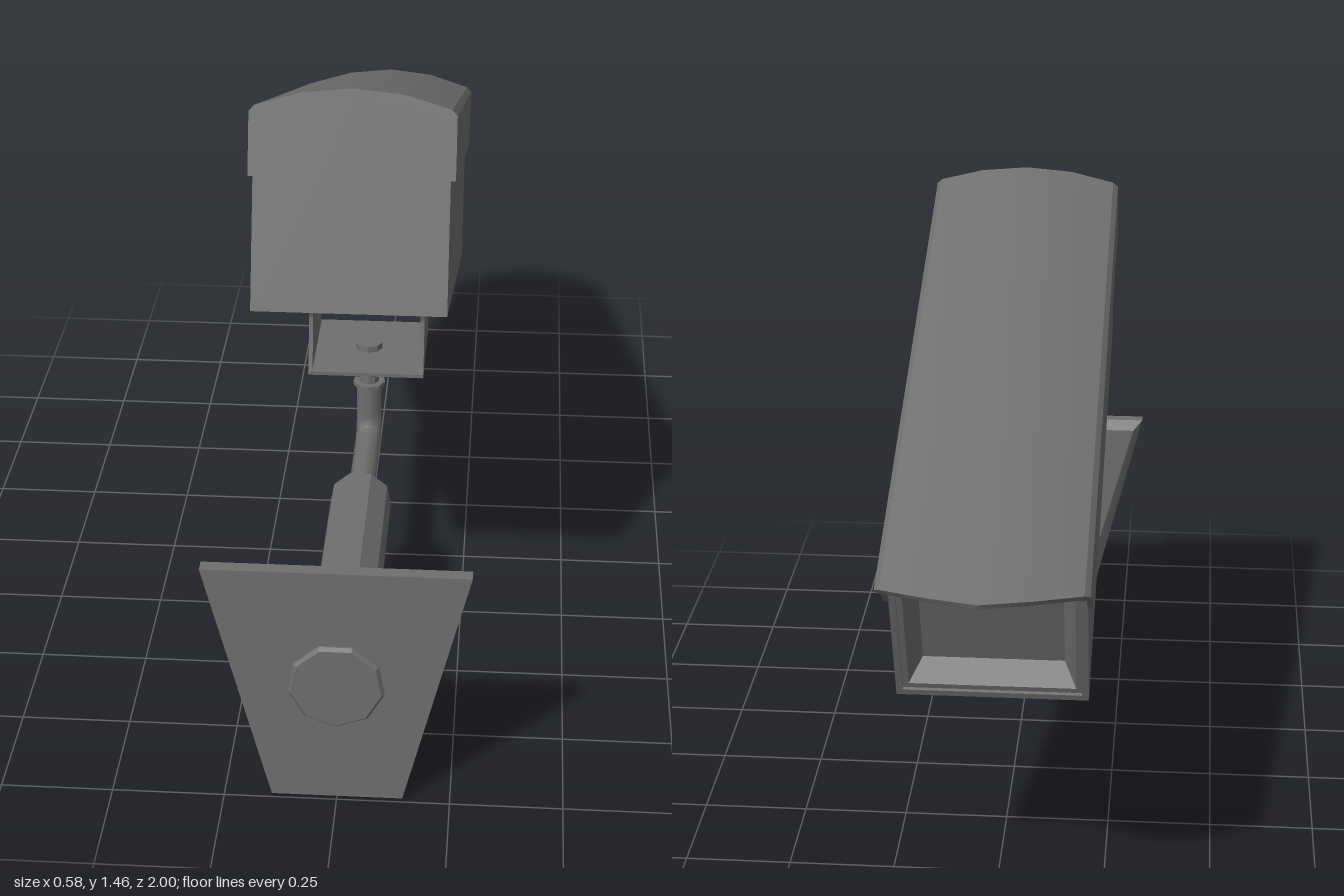
import * as THREE from 'three';
import { toCreasedNormals } from 'three/addons/utils/BufferGeometryUtils.js';

const material = new THREE.MeshStandardMaterial({ color: 0x6f6f6f });

function part(name, geometry, parent, crease = 0.4) {
  const mesh = new THREE.Mesh(toCreasedNormals(geometry, crease), material);
  mesh.name = name;
  parent.add(mesh);
  return mesh;
}

// Skin over a row of matching closed rings of [x, y, z], capped at both ends
function loft(rings) {
  const out = [];
  const tri = (a, b, c) => out.push(...a, ...b, ...c);
  const n = rings[0].length;
  for (let i = 0; i < rings.length - 1; i++) {
    for (let j = 0; j < n; j++) {
      const k = (j + 1) % n;
      const [a, b, c, d] = [rings[i][j], rings[i][k], rings[i + 1][k], rings[i + 1][j]];
      tri(a, b, c);
      tri(a, c, d);
    }
  }
  const first = rings[0], last = rings[rings.length - 1];
  for (let j = 1; j < n - 1; j++) {
    tri(first[0], first[j + 1], first[j]);
    tri(last[0], last[j], last[j + 1]);
  }
  const geometry = new THREE.BufferGeometry();
  geometry.setAttribute('position', new THREE.Float32BufferAttribute(out, 3));
  geometry.computeVertexNormals();
  return geometry;
}

// Nine-sided turned part
const lathe = (points) =>
  new THREE.LatheGeometry(points.map(([r, y]) => new THREE.Vector2(r, y)), 9);

function createHousing() {
  const housing = new THREE.Group();
  housing.name = 'cameraHousing';
  housing.position.set(0, 1.0, 0.595);
  housing.rotation.x = -THREE.MathUtils.degToRad(20);

  // Body with an arched top and a framed, recessed window at the lens end
  const outline = [[-0.215, 0], [0.215, 0], [0.215, 0.436], [0.11, 0.468], [0, 0.479], [-0.11, 0.468], [-0.215, 0.436]];
  const ring = (s, z) => outline.map(([x, y]) => [x * s, (y - 0.22) * s + 0.22, z]);
  part('body', loft([
    ring(0.74, -1.262), ring(0.87, -1.319), ring(0.93, -1.319),
    ring(0.93, -1.327), ring(1, -1.327), ring(1, 0),
  ]), housing);

  // Sheet hood with a visor: half profile of [x, y, front z], mirrored
  const half = [
    [0.226, 0.295, -1.327], [0.226, 0.342, -1.35], [0.226, 0.436, -1.432],
    [0.214, 0.449, -1.443], [0.11, 0.479, -1.492],
  ];
  const mirrored = half.map(([x, y, z]) => [-x, y, z]).reverse();
  const profile = [...half, [0, 0.49, -1.518], ...mirrored];
  const sections = profile.map(([x, y, z]) => {
    const ix = x * 0.945, iy = y > 0.4 ? y - 0.013 : y;
    return [[x, y, 0], [x, y, z], [ix, iy, z], [ix, iy, 0]];
  });
  part('hood', loft(sections), housing);
  return housing;
}

function createBracket() {
  const bracket = new THREE.Group();
  bracket.name = 'bracket';

  // Base with a chamfered underside
  const ring = (inset, y) => {
    const x = 0.142 - inset, z = 0.14 - inset;
    return [[x, y, z - 0.1], [x, y, -z - 0.1], [-x, y, -z - 0.1], [-x, y, z - 0.1]];
  };
  part('bracketBase', loft([ring(0.012, 0.534), ring(0, 0.541), ring(0, 0.55)]), bracket);
  const nut = part('baseNut', new THREE.CylinderGeometry(0.034, 0.034, 0.018, 9), bracket);
  nut.position.set(0, 0.557, -0.1);

  // Waisted cheek plates, sloped to meet the underside of the body
  const shape = new THREE.Shape([
    [-0.04, 0.543], [0.24, 0.543], [0.205, 0.62], [0.195, 0.68],
    [0.205, 0.715], [-0.04, 0.803], [-0.01, 0.72], [0, 0.68], [-0.01, 0.62],
  ].map(([x, y]) => new THREE.Vector2(x, y)));
  for (const side of [-1, 1]) {
    const cheek = new THREE.ExtrudeGeometry(shape, { depth: 0.01, bevelEnabled: false });
    cheek.translate(0, 0, -0.005).rotateY(Math.PI / 2);
    part('bracketCheek', cheek, bracket).position.x = side * 0.137;
    const bolt = new THREE.CylinderGeometry(0.025, 0.025, 0.026, 9).rotateZ(Math.PI / 2);
    part('pivotBolt', bolt, bracket).position.set(side * 0.14, 0.67, -0.1);
  }
  return bracket;
}

function createArm() {
  const arm = new THREE.Group();
  arm.name = 'arm';

  // Bent tube from the sleeve up to the collar
  const v = (y, z) => new THREE.Vector3(0, y, z);
  const path = new THREE.CurvePath();
  path.add(new THREE.LineCurve3(v(0.303, 0.22), v(0.303, -0.04)));
  path.add(new THREE.QuadraticBezierCurve3(v(0.303, -0.04), v(0.303, -0.1), v(0.363, -0.1)));
  path.add(new THREE.LineCurve3(v(0.363, -0.1), v(0.45, -0.1)));
  part('bentTube', new THREE.TubeGeometry(path, 28, 0.032, 9), arm, 0.75);

  // Collar and swivel post
  const post = lathe([[0, 0.445], [0.041, 0.445], [0.041, 0.455], [0.025, 0.455], [0.025, 0.54], [0, 0.54]]);
  part('swivelPost', post, arm).position.z = -0.1;

  // Thick sleeve and wall flange
  const sleeve = lathe([[0, 0.2], [0.06, 0.2], [0.075, 0.22], [0.075, 0.93], [0, 0.93]]);
  part('sleeve', sleeve.rotateX(Math.PI / 2), arm).position.y = 0.3;
  const flange = lathe([[0, 0.91], [0.088, 0.91], [0.107, 0.925], [0.107, 0.992], [0.1, 1], [0, 1]]);
  part('wallFlange', flange.rotateX(Math.PI / 2), arm).position.y = 0.3;
  return arm;
}

// Tapered plate with a chamfered edge on the side away from the wall
function createWallPlate(parent) {
  const ring = (inset, z) => [
    [-0.145 + inset, inset, z], [0.145 - inset, inset, z],
    [0.29 - inset, 0.585 - inset, z], [-0.29 + inset, 0.585 - inset, z],
  ];
  part('wallPlate', loft([ring(0.024, 0.937), ring(0, 0.958), ring(0, 0.988)]), parent);
}

export function createModel() {
  const model = new THREE.Group();
  model.name = 'securityCamera';
  model.add(createHousing(), createBracket(), createArm());
  createWallPlate(model);
  return model;
}
